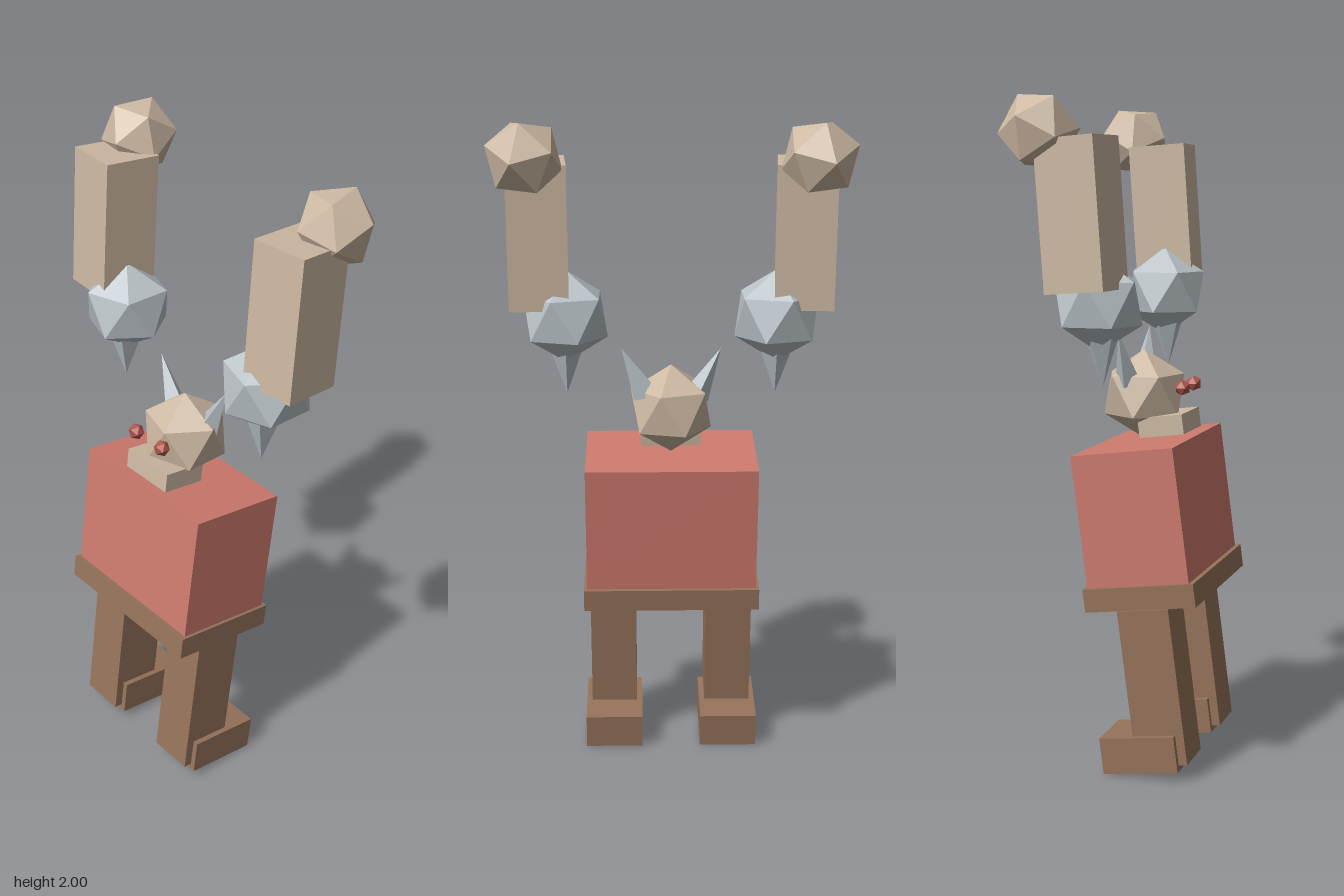
import * as THREE from 'three';

const TILT = -0.13; // the whole body leans back by this angle

function material(name, color) {
  const m = new THREE.MeshStandardMaterial({ color, flatShading: true });
  m.name = name;
  return m;
}

// Icosahedron standing on a vertex, with a lower vertex pointing to +x
function pointedBall(radius) {
  return new THREE.IcosahedronGeometry(radius, 0).rotateZ(0.5536);
}

export function createModel() {
  const model = new THREE.Group();
  model.name = 'hornedGolem';
  const tan = material('tan clay', 0xcdb9a3);
  const red = material('red tunic', 0xcd7a6e);
  const eyeRed = material('eye red', 0xb0554b);
  const brown = material('brown leather', 0x96735a);
  const steel = material('steel', 0xbcc5ca);

  function add(name, geometry, mat, position, rotation = [0, 0, 0], order = 'XYZ') {
    const mesh = new THREE.Mesh(geometry, mat);
    mesh.name = name;
    mesh.position.set(...position);
    mesh.rotation.set(...rotation, order);
    model.add(mesh);
    return mesh;
  }
  const box = (name, size, mat, position, rotation = [TILT, 0, 0]) =>
    add(name, new THREE.BoxGeometry(...size), mat, position, rotation);

  // Cone from a base centre to a tip
  function spike(name, base, tip, radius, sides) {
    const a = new THREE.Vector3(...base);
    const b = new THREE.Vector3(...tip);
    const dir = b.clone().sub(a);
    const mesh = add(name, new THREE.ConeGeometry(radius, dir.length(), sides), steel,
      a.clone().add(b).multiplyScalar(0.5).toArray());
    mesh.quaternion.setFromUnitVectors(new THREE.Vector3(0, 1, 0), dir.normalize());
  }

  // Body
  box('torso', [0.525, 0.4, 0.317], red, [0, 0.786, 0.056]);
  box('belt', [0.545, 0.07, 0.345], brown, [0, 0.553, 0.088]);

  // Head
  add('head', pointedBall(0.137), tan, [0, 1.125, 0.017], [0, -1.85, 0]);
  box('jaw', [0.185, 0.06, 0.14], tan, [0, 1.04, 0.098]);

  for (const s of [-1, 1]) {
    const side = s > 0 ? 'left' : 'right';

    // Face details
    add(side + 'Eye', new THREE.IcosahedronGeometry(0.025, 0), eyeRed, [s * 0.06, 1.155, 0.157]);
    spike(side + 'Horn', [s * 0.076, 1.17, -0.01], [s * 0.15, 1.32, -0.015], 0.04, 4);

    // Legs and feet
    box(side + 'Leg', [0.145, 0.475, 0.16], brown, [s * 0.183, 0.277, 0.125]);
    box(side + 'Foot', [0.18, 0.11, 0.235], brown, [s * 0.183, 0.07, 0.0875]);

    // Spiked shoulder ball, mirrored by a half turn of its ring
    add(side + 'ShoulderBall', pointedBall(0.14), steel, [s * 0.315, 1.42, -0.017],
      [0, s > 0 ? Math.PI : 0, 0]);
    spike(side + 'ShoulderSpike', [s * 0.315, 1.345, -0.01], [s * 0.315, 1.18, -0.005], 0.06, 5);

    // Raised arm and fist
    box(side + 'Arm', [0.175, 0.425, 0.18], tan, [s * 0.395, 1.67, -0.038], [-0.07, s * 0.08, 0]);
    add(side + 'Fist', new THREE.IcosahedronGeometry(0.116, 0), tan, [s * 0.418, 1.9, -0.153],
      [0, -s * 1.31, -s * 0.24], 'ZYX');
  }
  return model;
}
